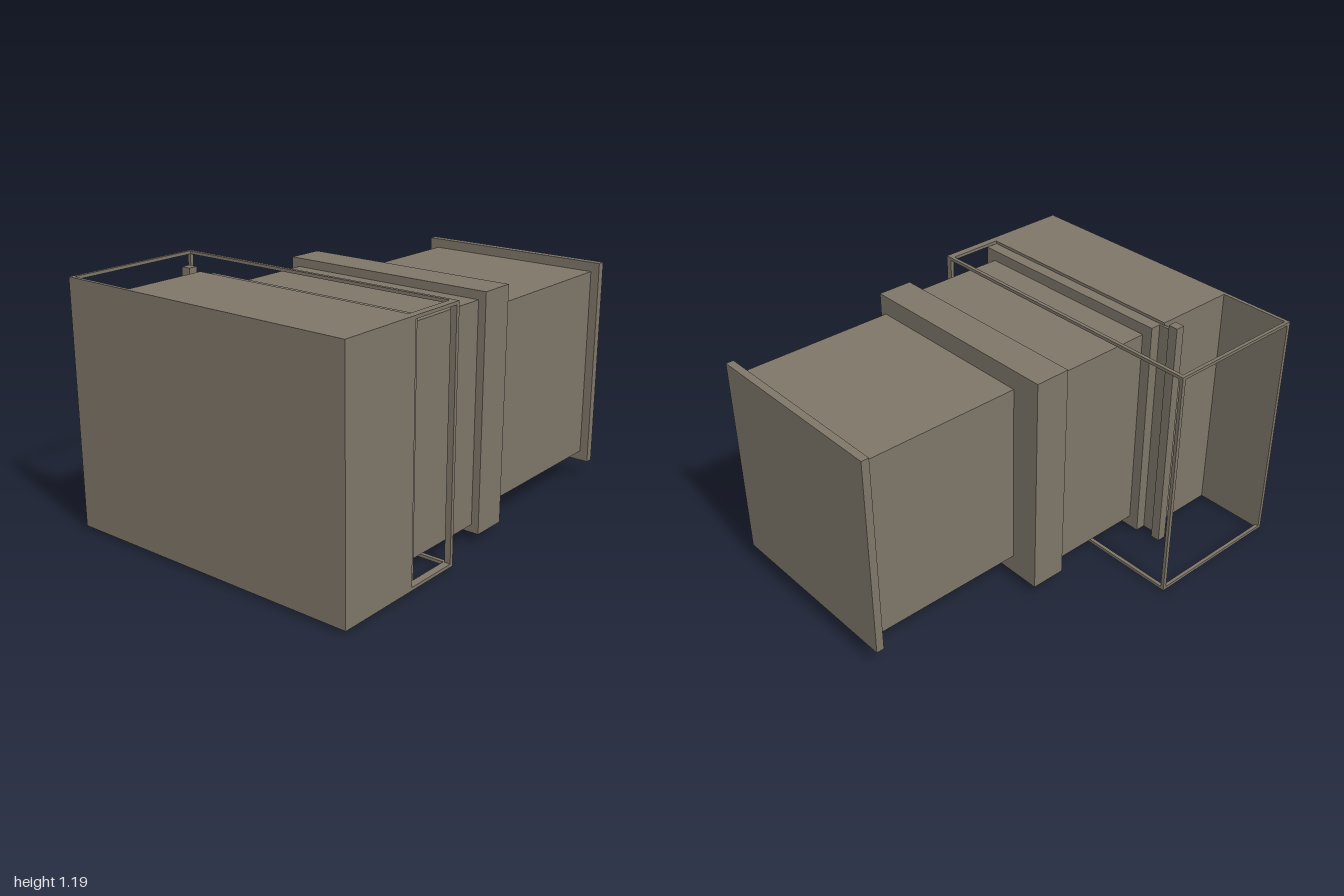
import * as THREE from 'three';

export function createModel() {
  const model = new THREE.Group();
  model.name = 'boxyHousing';
  const material = new THREE.MeshStandardMaterial({ color: 0x7d7568 });
  material.name = 'warmGrey';

  // Box from its limits on each axis
  const box = (name, [x0, x1], [y0, y1], [z0, z1], parent = model) => {
    const mesh = new THREE.Mesh(new THREE.BoxGeometry(x1 - x0, y1 - y0, z1 - z0), material);
    mesh.position.set((x0 + x1) / 2, (y0 + y1) / 2, (z0 + z1) / 2);
    mesh.name = name;
    parent.add(mesh);
    return mesh;
  };

  // Stepped body, from front to back
  box('frontPanel', [-0.765, 0.765], [0.013, 1.177], [0.982, 1]);
  box('frontBody', [-0.4, 0.765], [0.013, 1.177], [0.575, 0.982]);
  box('frontStep', [-0.38, 0.727], [0.022, 1.163], [0.515, 0.568]);
  box('middleBody', [-0.328, 0.673], [0.08, 1.11], [0.008, 0.515]);
  box('collar', [-0.37, 0.71], [0.042, 1.15], [-0.167, 0.008]);
  box('rearBody', [-0.222, 0.673], [0.138, 1.057], [-0.962, -0.167]);
  box('rearPlate', [-0.268, 0.715], [0.09, 1.102], [-1, -0.962]);

  // Upright edge post and the sheet that carries it
  box('sheet', [-0.445, 0.727], [0.022, 1.163], [0.566, 0.581]);
  box('edgePost', [-0.49, -0.442], [0, 1.19], [0.555, 0.6]);

  // Open rail frame behind the front panel
  const frame = new THREE.Group();
  frame.name = 'railFrame';
  model.add(frame);
  const back = [0.285, 0.303];
  for (const [level, y] of [['lower', [0.013, 0.028]], ['upper', [1.162, 1.177]]]) {
    box(level + 'BackRail', [-0.765, 0.765], y, back, frame);
    box(level + 'RightRail', [-0.765, -0.748], y, [0.303, 0.982], frame);
    box(level + 'LeftRail', [0.729, 0.765], y, [0.303, 0.575], frame);
  }
  box('rightPost', [-0.765, -0.748], [0.028, 1.162], back, frame);
  box('leftPost', [0.735, 0.765], [0.028, 1.162], back, frame);

  return model;
}
